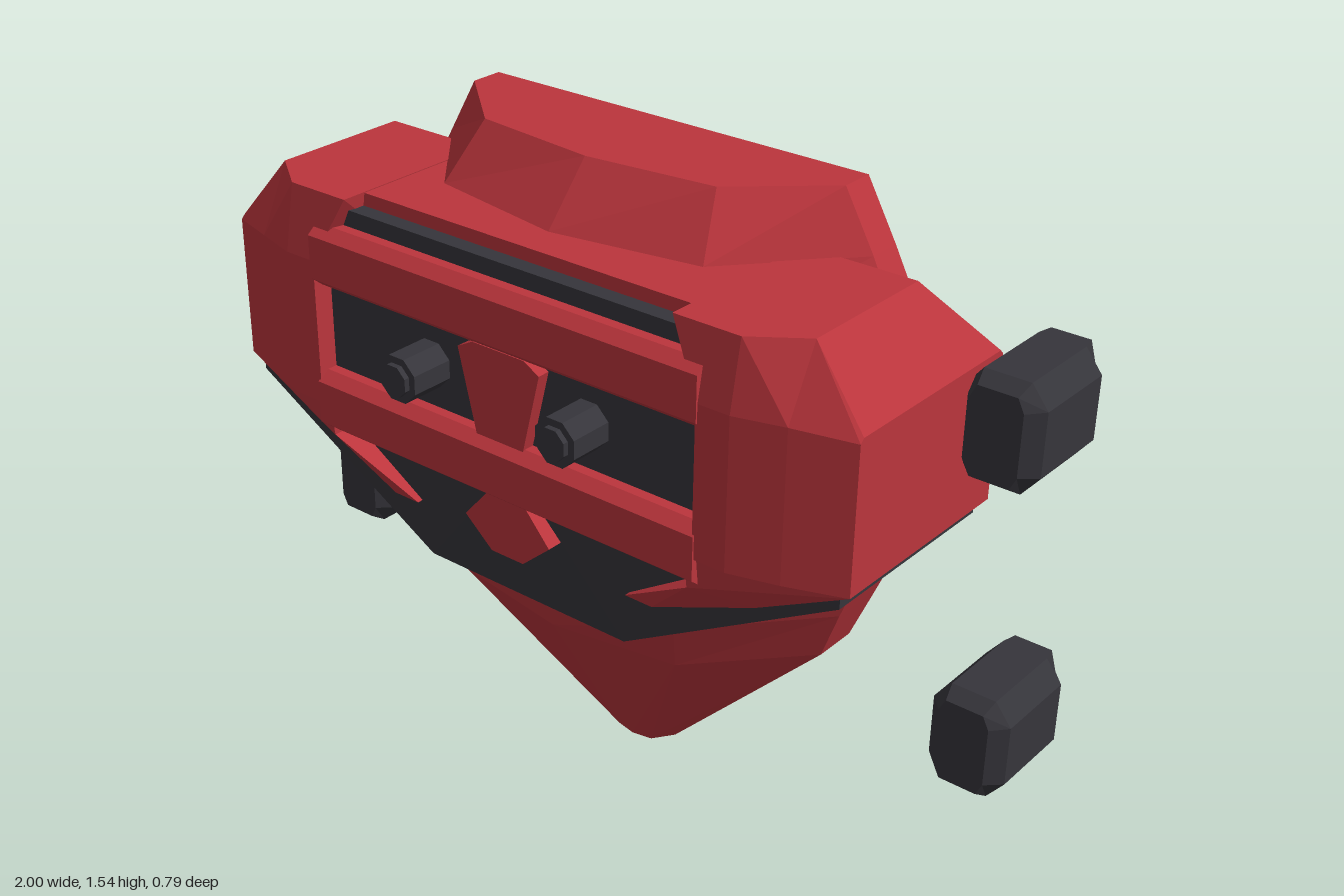
import * as THREE from 'three';

const red = new THREE.MeshStandardMaterial({ color: 0xbb353c });
red.name = 'red armour';
const dark = new THREE.MeshStandardMaterial({ color: 0x36353b });
dark.name = 'charcoal';

// Faceted solid through rings of [x, y, z]; each ring runs counterclockwise seen from the last ring's side
function loft(rings) {
  const pos = [];
  const tri = (...pts) => pts.forEach((p) => pos.push(...p));
  const n = rings[0].length;
  for (let i = 0; i < rings.length - 1; i++) {
    const a = rings[i], b = rings[i + 1];
    for (let j = 0; j < n; j++) {
      const k = (j + 1) % n;
      tri(a[j], a[k], b[k]);
      tri(a[j], b[k], b[j]);
    }
  }
  const first = rings[0], last = rings[rings.length - 1];
  for (let j = 1; j < n - 1; j++) {
    tri(first[0], first[j + 1], first[j]);
    tri(last[0], last[j], last[j + 1]);
  }
  const g = new THREE.BufferGeometry();
  g.setAttribute('position', new THREE.Float32BufferAttribute(pos, 3));
  g.computeVertexNormals();
  return g;
}

// Flat polygon in x, y given thickness from z0 to z1
const plate = (pts, z0, z1) => loft([z0, z1].map((z) => pts.map(([x, y]) => [x, y, z])));

// Mirror a right-hand outline (listed bottom to top) into a full one
const mirrored = (half) => [...half, ...half.map(([x, y]) => [-x, y]).reverse()];

export function createModel() {
  const model = new THREE.Group();
  const add = (name, geometry, material, parent = model) => {
    const mesh = new THREE.Mesh(geometry, material);
    mesh.name = name;
    parent.add(mesh);
    return mesh;
  };
  const addPair = (name, geometry, material) => {
    add('left ' + name, geometry, material);
    add('right ' + name, geometry, material).scale.x = -1;
  };

  // Hull: [y, side width, side z, mid x, mid z, centre z]
  const hull = [
    [0, 0.085, -0.2, 0.05, -0.15, -0.14],
    [0.46, 0.53, -0.14, 0.31, 0.1, 0.15],
    [0.6, 0.59, -0.11, 0.35, 0.16, 0.2],
    [0.79, 0.67, -0.09, 0.37, 0.19, 0.22],
    [1.25, 0.66, -0.16, 0.37, 0.13, 0.18],
    [1.41, 0.575, -0.17, 0.35, 0.09, 0.15],
    [1.54, 0.5, -0.17, 0.31, 0, 0.035],
  ].map(([y, w, z1, m, z2, z3]) => [
    [w, y, z1], [w, y, -0.25], [-w, y, -0.25], [-w, y, z1], [-m, y, z2], [0, y, z3], [m, y, z2],
  ]);
  add('hull', loft(hull), red);

  // Head block between the shoulders
  const head = new THREE.BoxGeometry(1.04, 0.49, 0.48);
  add('headBlock', head, red).position.set(0, 1.165, 0);

  // Chamfered shoulders
  const shoulderRing = (xs, profile) => profile.map(([z, y], i) => [xs[i], y, z]);
  const full = [[-0.25, 0.92], [-0.25, 1.27], [-0.12, 1.412], [0.3, 1.412], [0.328, 1.26], [0.328, 0.92]];
  addPair('shoulder', loft([
    shoulderRing([0.52, 0.52, 0.44, 0.44, 0.52, 0.52], full),
    shoulderRing(Array(6).fill(0.6), full),
    shoulderRing(Array(6).fill(0.71),
      [[-0.25, 0.92], [-0.25, 1.27], [-0.12, 1.412], [0.22, 1.412], [0.297, 1.26], [0.297, 0.92]]),
    shoulderRing(Array(6).fill(0.838),
      [[-0.25, 0.92], [-0.25, 1.25], [-0.24, 1.26], [0.24, 1.26], [0.25, 1.25], [0.25, 0.92]]),
  ]), red);

  // Dark collar under the head
  const collar = [
    [0, 0.92, 0.27], [-0.5, 0.92, 0.27], [-0.81, 0.92, 0.24], [-0.81, 0.88, 0.24], [-0.28, 0.58, 0.24],
    [0.28, 0.58, 0.24], [0.81, 0.88, 0.24], [0.81, 0.92, 0.24], [0.5, 0.92, 0.27],
  ];
  add('collar', loft([collar.map(([x, y]) => [x, y, -0.245]), collar]), dark);

  // Slanted cheek wedges
  const cheek = [
    [0.5, 0.84, 0.315], [0.3, 0.715, 0.262], [0.37, 0.715, 0.262],
    [0.62, 0.81, 0.25], [0.838, 0.92, 0.25], [0.5, 0.92, 0.325],
  ];
  addPair('cheek', loft([cheek.map(([x, y]) => [x, y, 0.2]), cheek]), red);

  // Visor with two chamfered bars
  const visor = new THREE.BoxGeometry(1.04, 0.52, 0.1);
  add('visor', visor, dark).position.set(0, 1.12, 0.23);
  const barProfile = [[0.27, -0.072], [0.27, 0.072], [0.305, 0.072], [0.332, 0.05], [0.332, -0.05], [0.305, -0.072]];
  const bar = loft([-0.525, 0.525].map((x) => barProfile.map(([z, y]) => [x, y, z])));
  add('upperBar', bar, red).position.y = 1.27;
  add('lowerBar', bar, red).position.y = 0.922;

  // Nose and chin plates
  add('nose', plate(mirrored([[0.065, 0.99], [0.112, 1.178], [0.07, 1.2]]), 0.27, 0.31), red);
  add('chin', plate(mirrored([[0.045, 0.705], [0.12, 0.77], [0.05, 0.85]]), 0.23, 0.295), red);

  // Eight-sided eye studs
  for (const side of [1, -1]) {
    const eye = new THREE.Group();
    eye.name = side > 0 ? 'left eye stud' : 'right eye stud';
    for (const [name, r, z0, z1] of [['studBase', 0.055, 0.27, 0.385], ['studTip', 0.038, 0.38, 0.398]]) {
      const g = new THREE.CylinderGeometry(r, r, z1 - z0, 8).toNonIndexed();
      g.rotateY(Math.PI / 8).rotateX(Math.PI / 2).translate(0, 0, (z0 + z1) / 2);
      g.computeVertexNormals();
      add(name, g, dark, eye);
    }
    eye.position.set(side * 0.218, 1.095, 0);
    model.add(eye);
  }

  // Four chamfered side blocks
  const octagon = (w, h, z, c = 0.04, d = 0.05) => [
    [w - c, -h, z], [w, d - h, z], [w, h - d, z], [w - c, h, z],
    [c - w, h, z], [-w, h - d, z], [-w, d - h, z], [c - w, -h, z],
  ];
  const block = loft([
    octagon(0.06, 0.122, -0.395, 0.015), octagon(0.093, 0.122, -0.36),
    octagon(0.093, 0.122, -0.15), octagon(0.06, 0.1, -0.115, 0.015, 0.03),
  ]);
  for (const side of [1, -1]) {
    for (const [level, y] of [['upper', 1.14], ['lower', 0.402]]) {
      add(`${level} ${side > 0 ? 'left' : 'right'} block`, block, dark).position.set(side * 0.907, y, 0);
    }
  }
  return model;
}
